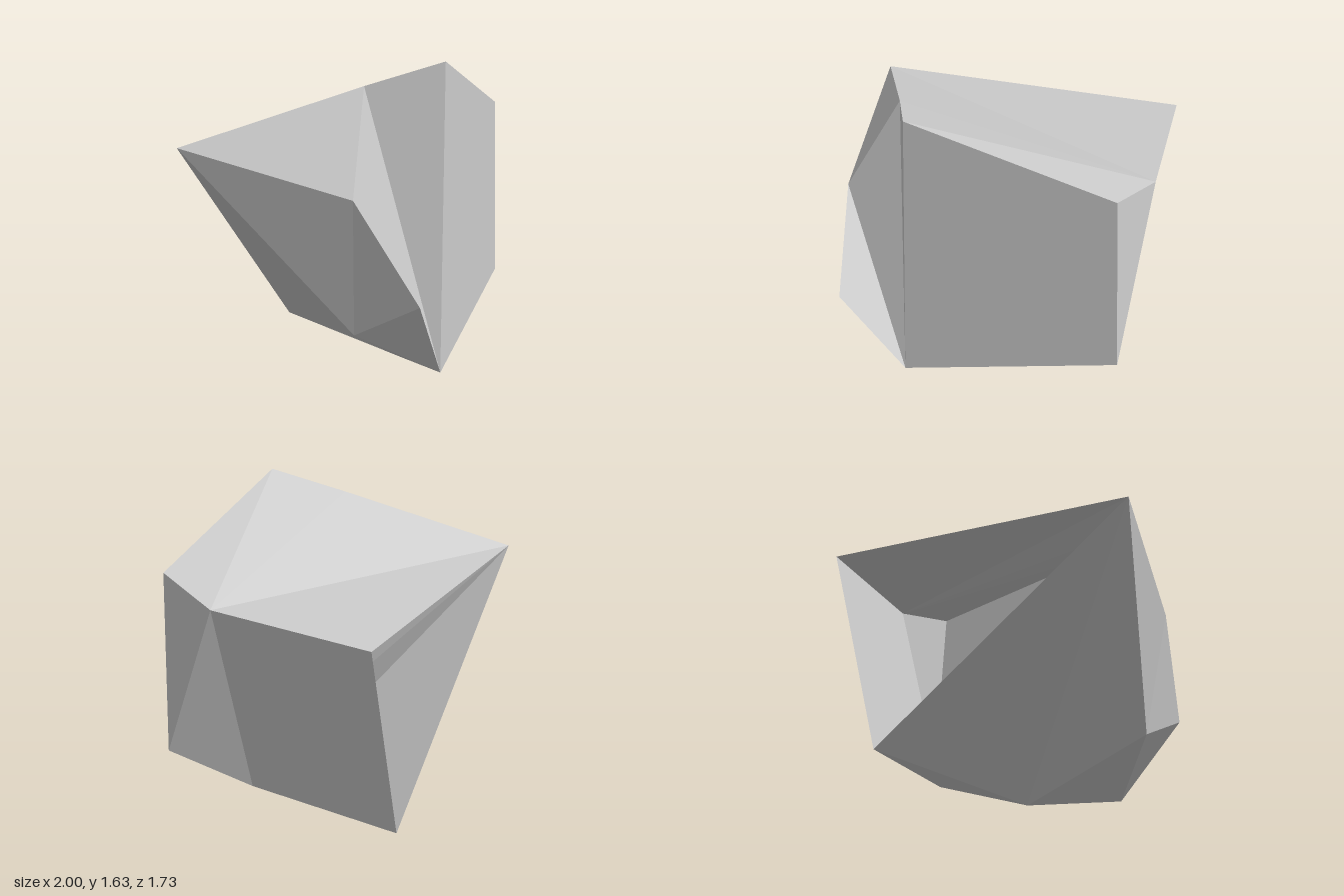
import * as THREE from 'three';

// Corner points of the faceted shell
const P = {
  A: [-1, 1.21, -0.18],      // left peak, on the rim of the opening
  B: [-0.3, 1.51, 0.42],
  C: [0, 1.63, 0.69],        // highest point
  D: [0.95, 1.375, 0.26],
  E: [1, 0.39, 0.24],
  F: [-0.05, 0.065, 0.72],
  G: [0.2, 0, 0.25],         // lowest point
  H: [0.64, 0.155, 0],
  I: [-0.55, 0.98, 0.59],
  J: [-0.375, 0.475, 0.865], // front spur
  K: [-0.45, 0.29, 0.5],
  L: [0.91, 1.29, -0.11],
  M: [0.52, 1.24, -0.86],    // back rim
  N: [0.25, 0.09, -0.74],    // back rim
};

// Facets by part, counter-clockwise from outside; triangle A-M-N stays open
const PARTS = {
  topFacets: 'ALM ABL BCL CDL',
  frontFacets: 'CFED BFC IFB AIB',
  spurFacets: 'IJF JKF IKJ AKI',
  sideFacets: 'DEL EHL LHNM',
  bottomFacets: 'FHE FGH GNH GAN GKA GFK',
};

// Fan each facet into separate triangles so its normals stay flat
function facetGeometry(facets) {
  const pos = [];
  for (const f of facets.split(' ')) {
    for (let i = 1; i < f.length - 1; i++) {
      pos.push(...P[f[0]], ...P[f[i]], ...P[f[i + 1]]);
    }
  }
  const geo = new THREE.BufferGeometry();
  geo.setAttribute('position', new THREE.Float32BufferAttribute(pos, 3));
  geo.computeVertexNormals();
  return geo;
}

export function createModel() {
  const group = new THREE.Group();
  group.name = 'facetedShell';
  const stone = new THREE.MeshStandardMaterial({
    color: 0xcccccc, flatShading: true, side: THREE.DoubleSide,
  });
  stone.name = 'paleGrey';
  for (const [name, facets] of Object.entries(PARTS)) {
    const mesh = new THREE.Mesh(facetGeometry(facets), stone);
    mesh.name = name;
    group.add(mesh);
  }
  return group;
}
